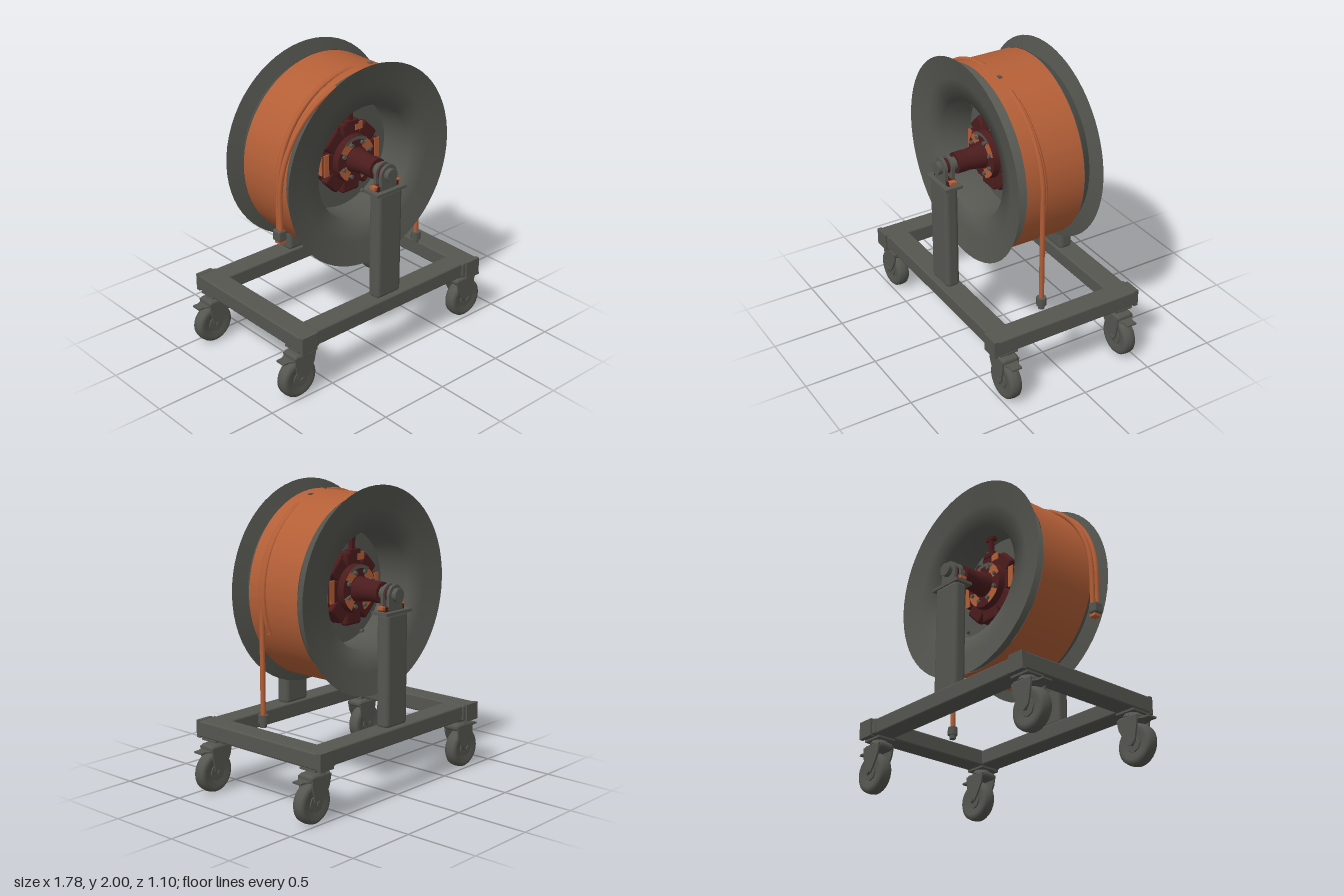
import * as THREE from 'three';
import { RoundedBoxGeometry } from 'three/addons/geometries/RoundedBoxGeometry.js';

const material = (name, color, side = THREE.FrontSide) => {
  const m = new THREE.MeshStandardMaterial({ color, side });
  m.name = name;
  return m;
};
const grey = material('grey metal', 0x555650, THREE.DoubleSide);
const orange = material('orange cable', 0xb45f37, THREE.DoubleSide);
const red = material('dark red metal', 0x4b1c1d);

const AXLE_Y = 1.32;

function add(parent, name, geometry, mat, x = 0, y = 0, z = 0) {
  const mesh = new THREE.Mesh(geometry, mat);
  mesh.name = name;
  mesh.position.set(x, y, z);
  parent.add(mesh);
  return mesh;
}
const box = (w, h, d) => new THREE.BoxGeometry(w, h, d);
// Cylinder along z; r1 is the radius at the +z end
const rod = (r1, r2, length, sides = 24) =>
  new THREE.CylinderGeometry(r1, r2, length, sides).rotateX(Math.PI / 2);
// Lathe around z from [radius, z] pairs
const lathe = (points, sides = 64) =>
  new THREE.LatheGeometry(points.map(p => new THREE.Vector2(...p)), sides).rotateX(Math.PI / 2);

function plate(points, depth) {
  const shape = new THREE.Shape(points.map(p => new THREE.Vector2(...p)));
  return new THREE.ExtrudeGeometry(shape, { depth, bevelEnabled: false }).translate(0, 0, -depth / 2);
}

// Flat ring sector facing +z
function sector(inner, outer, start, sweep) {
  return new THREE.RingGeometry(inner, outer, 10, 1, start, sweep);
}

// Caster trailing towards +x, origin on the ground under the swivel
function caster() {
  const g = new THREE.Group();
  g.name = 'caster';
  add(g, 'mountPlate', box(0.15, 0.014, 0.13), grey, 0, 0.352, 0);
  add(g, 'swivel', new THREE.CylinderGeometry(0.05, 0.065, 0.03, 20), grey, 0.005, 0.333, 0);
  add(g, 'forkCrown', new RoundedBoxGeometry(0.175, 0.05, 0.122, 3, 0.022), grey, 0.01, 0.302, 0);
  const cheek = [[-0.075, 0.31], [0.095, 0.31], [0.09, 0.25], [0.07, 0.15], [0.045, 0.115],
    [0.015, 0.125], [-0.02, 0.17], [-0.06, 0.24]];
  for (const s of [-1, 1]) {
    add(g, 'forkCheek', plate(cheek, 0.012), grey, 0, 0, s * 0.055);
    add(g, 'axleNut', rod(0.022, 0.022, 0.012, 6), grey, 0.04, 0.137, s * 0.063);
  }
  add(g, 'wheel', lathe([[0.055, -0.036], [0.1, -0.045], [0.12, -0.042], [0.132, -0.03], [0.136, 0],
    [0.132, 0.03], [0.12, 0.042], [0.1, 0.045], [0.055, 0.036]], 32), grey, 0.04, 0.136, 0);
  add(g, 'wheelHub', rod(0.058, 0.058, 0.09, 8), grey, 0.04, 0.136, 0);
  const lever = plate([[0.06, -0.055], [0.1, -0.05], [0.13, -0.035], [0.17, -0.035],
    [0.17, 0.035], [0.13, 0.035], [0.1, 0.05], [0.06, 0.055]], 0.012).rotateX(Math.PI / 2);
  add(g, 'brakeLever', lever, grey, 0, 0.288, 0);
  return g;
}

// Lobed hub sitting deep inside the flange
function hub() {
  const g = new THREE.Group();
  g.name = 'hub';
  g.position.y = AXLE_Y;
  add(g, 'hubPlate', rod(0.235, 0.25, 0.07, 8).rotateZ(Math.PI / 8), red, 0, 0, 0.055);
  for (let i = 0; i < 8; i++) {
    const a = i * Math.PI / 4;
    const lobe = add(g, 'hubLobe', new RoundedBoxGeometry(0.15, 0.12, 0.06, 3, 0.02), red,
      Math.cos(a) * 0.185, Math.sin(a) * 0.185, 0.09);
    lobe.rotation.z = a - Math.PI / 2;
    add(g, 'hubBolt', rod(0.014, 0.014, 0.02, 6), grey,
      Math.cos(a + 0.39) * 0.118, Math.sin(a + 0.39) * 0.118, 0.172);
  }
  for (const s of [-1, 1]) {
    add(g, 'hubSidePatch', box(0.04, 0.15, 0.008), orange, s * 0.215, 0, 0.121);
    add(g, 'hubSideEdgePatch', box(0.008, 0.13, 0.045), orange, s * 0.243, 0, 0.09);
  }
  add(g, 'hubTopPatch', box(0.06, 0.05, 0.008), orange, 0.06, 0.205, 0.121);
  add(g, 'boss', rod(0.155, 0.17, 0.1, 24), red, 0, 0, 0.115);
  add(g, 'bossArc', sector(0.135, 0.158, Math.PI * 0.3, Math.PI * 0.4), grey, 0, 0, 0.1665);
  for (let i = 0; i < 4; i++)
    add(g, 'bossPatch', sector(0.09, 0.152, i * Math.PI / 2 + 0.3, 0.75), orange, 0, 0, 0.166);
  add(g, 'shaftCone', rod(0.065, 0.085, 0.14), red, 0, 0, 0.225);
  add(g, 'shaft', rod(0.07, 0.07, 0.08), red, 0, 0, 0.325);
  // Radial strut reaching up to the flange wall
  add(g, 'strut', box(0.03, 0.16, 0.03), red, 0, 0.3, 0.1);
  add(g, 'strutHead', box(0.07, 0.025, 0.04), red, 0, 0.368, 0.1);
  add(g, 'strutFoot', box(0.1, 0.03, 0.04), red, 0, 0.24, 0.11);
  return g;
}

// Everything on one end of the axle, facing +z
function axleEnd() {
  const g = new THREE.Group();
  g.name = 'axleEnd';
  // Dished flange with a deep well, its shoulder, and the well floor
  add(g, 'flange', lathe([[0.38, 0.02], [0.39, 0.245], [0.53, 0.276], [0.682, 0.308]]), grey, 0, AXLE_Y, 0);
  add(g, 'flangeShoulder', lathe([[0.57, 0.28], [0.622, 0.21]]), grey, 0, AXLE_Y, 0);
  add(g, 'flangeFloor', new THREE.CircleGeometry(0.382, 64), grey, 0, AXLE_Y, 0.02);
  for (const [x, y] of [[-0.32, 0.19], [-0.32, -0.19], [0.18, -0.33]])
    add(g, 'floorBolt', rod(0.014, 0.014, 0.025, 6), grey, x, AXLE_Y + y, 0.03);
  g.add(hub());

  // Post with cap and clevis
  add(g, 'post', new RoundedBoxGeometry(0.21, 0.76, 0.098, 4, 0.03), grey, 0, 0.835, 0.445);
  add(g, 'postCap', box(0.25, 0.02, 0.125), grey, 0, 1.21, 0.438);
  add(g, 'clevisBase', box(0.18, 0.03, 0.06), red, 0, 1.235, 0.435);
  for (const s of [-1, 1])
    add(g, 'clevisBolt', box(0.035, 0.02, 0.045), orange, s * 0.095, 1.243, 0.435);
  for (const z of [0.41, 0.46]) {
    add(g, 'clevisEar', rod(0.066, 0.066, 0.022), grey, 0, AXLE_Y, z);
    add(g, 'clevisEarFoot', box(0.132, 0.1, 0.022), grey, 0, 1.27, z);
  }
  add(g, 'bearing', rod(0.05, 0.05, 0.05), red, 0, AXLE_Y, 0.435);
  add(g, 'axlePin', rod(0.044, 0.044, 0.15), grey, 0, AXLE_Y, 0.428);
  return g;
}

// Cable wound on the drum between two angles, then dropping to a given height
function strand(parent, startAngle, endAngle, z0, z1, endY, endRadius) {
  const points = [];
  const n = 14;
  for (let i = 0; i <= n; i++) {
    const t = i / n;
    const a = startAngle + (endAngle - startAngle) * t;
    const r = 0.612 + (endRadius - 0.612) * t;
    points.push(new THREE.Vector3(Math.cos(a) * r, AXLE_Y + Math.sin(a) * r, z0 + (z1 - z0) * t));
  }
  const last = points[n];
  for (const t of [0.33, 0.66, 1])
    points.push(new THREE.Vector3(last.x, last.y + (endY - last.y) * t, z1));
  const curve = new THREE.CatmullRomCurve3(points);
  add(parent, 'looseCable', new THREE.TubeGeometry(curve, 60, 0.017, 8), orange);
  return last.x;
}

export function createModel() {
  const model = new THREE.Group();
  model.name = 'cableReelCart';

  // Base frame
  for (const s of [-1, 1]) {
    add(model, 'sideRail', new RoundedBoxGeometry(0.15, 0.11, 1.08, 2, 0.012), grey, s * 0.715, 0.415, 0);
    add(model, 'crossRail', new RoundedBoxGeometry(1.34, 0.106, 0.15, 2, 0.012), grey, 0, 0.415, s * 0.455);
    for (const e of [-1, 1]) {
      add(model, 'railEndCap', box(0.12, 0.118, 0.03), grey, s * 0.73, 0.413, e * 0.537);
      const c = caster();
      c.position.set(s * 0.712, 0, e * 0.442);
      c.rotation.y = s > 0 ? 0 : Math.PI;
      model.add(c);
    }
  }

  // Matching axle ends
  for (const turn of [0, Math.PI]) {
    const end = axleEnd();
    end.rotation.y = turn;
    model.add(end);
  }

  // Wound cable
  add(model, 'cableDrum', lathe([[0.622, -0.206], [0.622, 0.215]]), orange, 0, AXLE_Y, 0);
  add(model, 'drumBolt', box(0.03, 0.02, 0.025), grey, 0.15, AXLE_Y + 0.598, 0.12);

  // Loose cable on the left side with its plug
  const leftX = strand(model, 1.12, -0.12, 0.115, 0.1, 0.55, 0.628);
  add(model, 'cablePlug', new THREE.CylinderGeometry(0.034, 0.034, 0.055, 8), grey, leftX, 0.53, 0.1);
  add(model, 'cablePlugTip', new THREE.CylinderGeometry(0.022, 0.022, 0.03, 8), grey, leftX, 0.49, 0.1);
  strand(model, 1.0, -0.38, 0.105, 0.075, 1.08, 0.627);

  // Doubled cable on the right side with its plug
  strand(model, 1.58, 3.2, 0.13, 0.18, 1.05, 0.66);
  strand(model, 1.95, 3.2, 0.225, 0.21, 1.05, 0.67);
  add(model, 'cablePlug', new RoundedBoxGeometry(0.062, 0.075, 0.07, 2, 0.012), grey, -0.667, 1.02, 0.197);
  add(model, 'cablePlugTip', box(0.05, 0.03, 0.05), orange, -0.66, 0.978, 0.197);

  return model;
}
